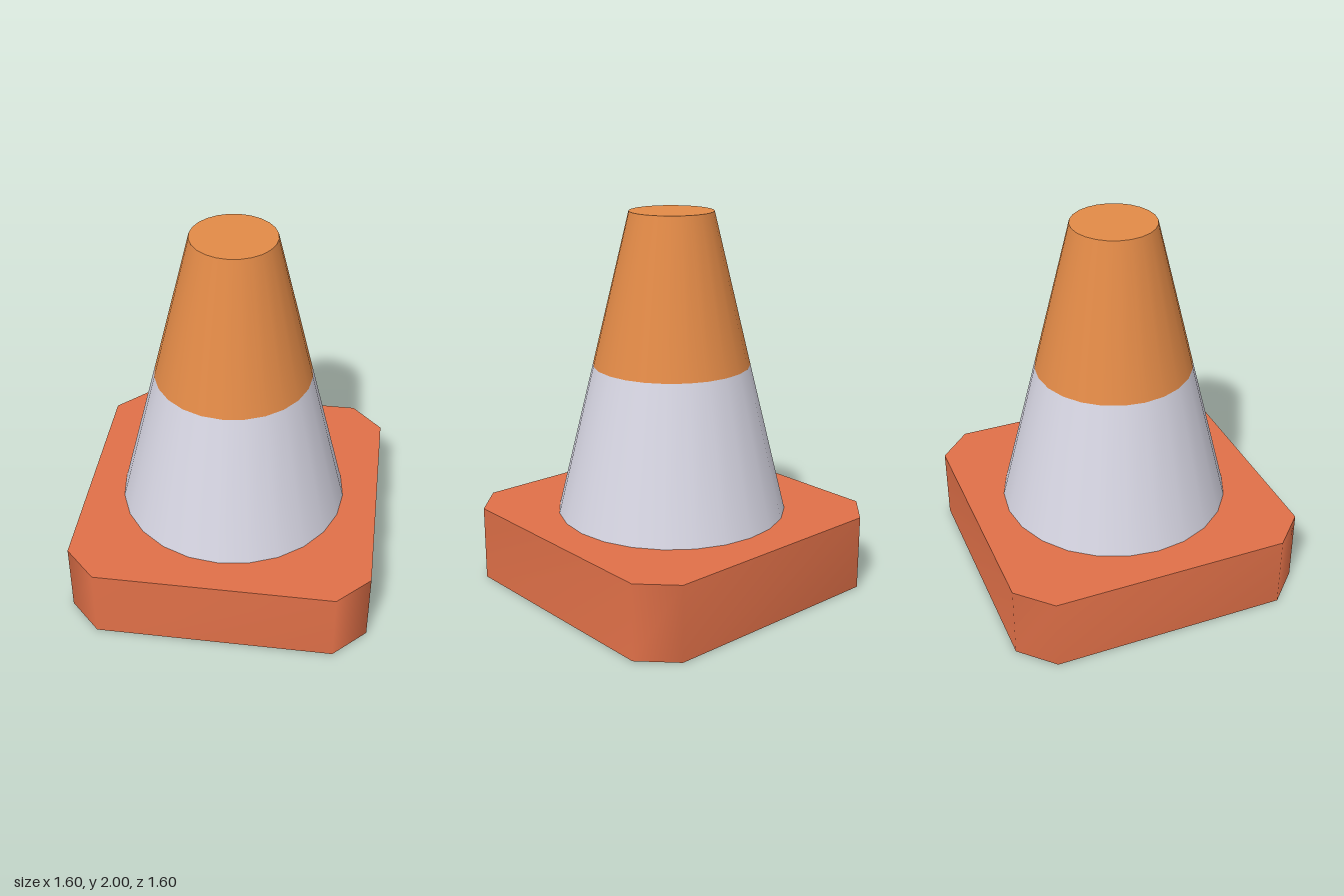
import * as THREE from 'three';

const material = (name, color) => {
  const m = new THREE.MeshStandardMaterial({ color });
  m.name = name;
  return m;
};

// Square outline with cut corners, counter-clockwise
function cutSquare(half, cut) {
  const points = [];
  const inner = half - cut;
  for (let i = 0; i < 4; i++) {
    const a = (i * Math.PI) / 2;
    for (const y of [-inner, inner]) {
      points.push(new THREE.Vector2(half, y).rotateAround(new THREE.Vector2(), a));
    }
  }
  return points;
}

// Band of walls around an outline, with normals shared across the corners
function wallGeometry(outline, height) {
  const positions = [], index = [], n = outline.length;
  outline.forEach((p, i) => {
    positions.push(p.x, 0, -p.y, p.x, height, -p.y);
    const a = i * 2, b = ((i + 1) % n) * 2;
    index.push(a, b, b + 1, a, b + 1, a + 1);
  });
  const g = new THREE.BufferGeometry();
  g.setAttribute('position', new THREE.Float32BufferAttribute(positions, 3));
  g.setIndex(index);
  g.computeVertexNormals();
  return g;
}

export function createModel() {
  const model = new THREE.Group();
  model.name = 'trafficCone';
  const red = material('brick red', 0xe07048);
  const white = material('pale grey', 0xd7d6e3);
  const orange = material('orange', 0xe28a47);

  const add = (parent, name, geometry, mat, y = 0) => {
    const mesh = new THREE.Mesh(geometry, mat);
    mesh.name = name;
    mesh.position.y = y;
    parent.add(mesh);
    return mesh;
  };

  // Base slab
  const base = new THREE.Group();
  base.name = 'base';
  model.add(base);
  const outline = cutSquare(0.8, 0.17);
  const cap = new THREE.ShapeGeometry(new THREE.Shape(outline));
  add(base, 'baseWalls', wallGeometry(outline, 0.4), red);
  add(base, 'baseTop', cap, red, 0.4).rotation.x = -Math.PI / 2;
  add(base, 'baseBottom', cap, red).rotation.x = Math.PI / 2;

  // Cone body in two bands, closed at the top
  add(model, 'lowerBand', new THREE.CylinderGeometry(0.415, 0.612, 0.8, 24, 1, true), white, 0.8);
  add(model, 'upperBand', new THREE.CylinderGeometry(0.22, 0.415, 0.8, 24, 1, true), orange, 1.6);
  add(model, 'coneTop', new THREE.CircleGeometry(0.22, 24), orange, 2).rotation.x = -Math.PI / 2;

  return model;
}
